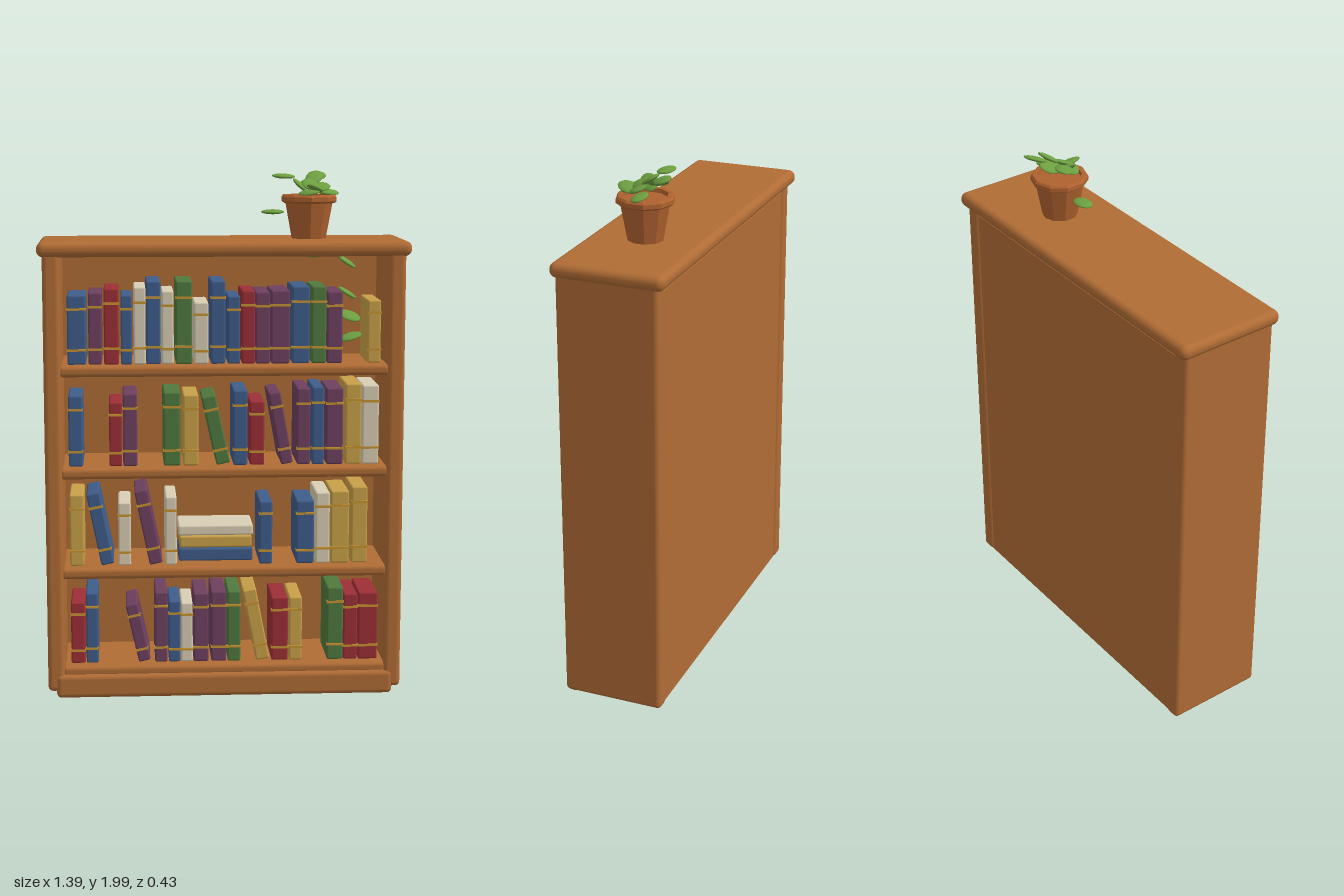
import * as THREE from 'three';
import { RoundedBoxGeometry } from 'three/addons/geometries/RoundedBoxGeometry.js';

const mat = (name, color, flatShading = false) => {
  const m = new THREE.MeshStandardMaterial({ color, flatShading });
  m.name = name;
  return m;
};

export function createModel() {
  const model = new THREE.Group();
  model.name = 'bookcase';

  const wood = mat('wood', 0xb06c35);
  const clay = mat('terracotta', 0xb0622f, true);
  const leafGreen = mat('leaf green', 0x6c9f40);
  const gold = mat('gold band', 0xc4922f);
  const covers = {
    b: mat('blue cover', 0x3f5d8a),
    p: mat('purple cover', 0x6e405f),
    r: mat('red cover', 0x9c2f36),
    g: mat('green cover', 0x50793f),
    y: mat('yellow cover', 0xc8a048),
    c: mat('cream cover', 0xd8ceb4),
  };

  const add = (parent, name, geometry, material, x = 0, y = 0, z = 0) => {
    const mesh = new THREE.Mesh(geometry, material);
    mesh.name = name;
    mesh.position.set(x, y, z);
    parent.add(mesh);
    return mesh;
  };
  const rounded = (w, h, d, r, s = 3) => new RoundedBoxGeometry(w, h, d, s, r);

  // Carcass
  add(model, 'topBoard', rounded(1.39, 0.056, 0.428, 0.026, 4), wood, 0, 1.708, -0.002);
  for (const side of [-1, 1]) {
    add(model, side > 0 ? 'leftSide' : 'rightSide', rounded(0.064, 1.675, 0.388, 0.018), wood, side * 0.643, 0.8625, 0.003);
  }
  add(model, 'backPanel', new THREE.BoxGeometry(1.25, 1.63, 0.02), wood, 0, 0.843, -0.172);
  add(model, 'kickBoard', rounded(1.285, 0.09, 0.045, 0.018), wood, 0, 0.045, 0.182);
  const shelfTops = [1.275, 0.888, 0.503, 0.12];
  for (const y of shelfTops) {
    add(model, 'shelf', rounded(1.24, 0.042, 0.35, 0.016), wood, 0, y - 0.021, 0.012);
  }

  // Books: [cover, left edge, width, height, lean], sizes in thousandths, lean in radians
  const frontZ = 0.14, depth = 0.23;
  const row = (base, books) => {
    for (const [cover, left, w, h, lean = 0] of books) {
      const book = new THREE.Group();
      book.name = 'book';
      const W = w / 1000, H = h / 1000;
      book.position.set(left / 1000, base, frontZ);
      book.rotation.z = lean;
      add(book, 'cover', rounded(W, H, depth, 0.007, 2), covers[cover], W / 2, H / 2, -depth / 2);
      for (const t of [0.21, 0.8]) {
        add(book, 'spineBand', new THREE.BoxGeometry(W + 0.004, 0.009, 0.022), gold, W / 2, H * t, -0.008);
      }
      model.add(book);
    }
  };
  row(shelfTops[0], [
    ['b', -587, 70, 260], ['p', -508, 50, 270], ['r', -450, 55, 285], ['b', -387, 42, 260],
    ['c', -339, 45, 290], ['b', -292, 54, 312], ['c', -234, 45, 275], ['g', -182, 62, 312],
    ['c', -113, 54, 232], ['b', -50, 54, 312], ['b', 13, 47, 255], ['r', 66, 50, 275],
    ['p', 118, 54, 270], ['p', 176, 71, 275], ['b', 255, 66, 290], ['g', 329, 55, 290],
    ['p', 387, 58, 270], ['y', 540, 50, 237],
  ]);
  row(shelfTops[1], [
    ['b', -587, 54, 270], ['r', -434, 48, 244], ['p', -382, 54, 276], ['g', -229, 64, 281],
    ['y', -155, 58, 270], ['g', -28, 53, 265, 0.22], ['b', 34, 54, 286], ['r', 97, 55, 244],
    ['p', 217, 45, 277, 0.18], ['p', 276, 50, 292], ['b', 334, 45, 297], ['p', 387, 64, 292],
    ['y', 460, 60, 308], ['c', 524, 63, 302],
  ]);
  row(shelfTops[2], [
    ['y', -587, 54, 276], ['b', -468, 50, 282, 0.2], ['c', -403, 48, 244], ['p', -284, 50, 292, 0.2],
    ['c', -224, 43, 265], ['b', 134, 50, 244], ['b', 276, 68, 244], ['c', 350, 54, 276],
    ['y', 408, 70, 281], ['y', 487, 61, 297],
  ]);
  row(shelfTops[3], [
    ['r', -587, 54, 240], ['b', -529, 46, 276], ['p', -328, 46, 230, 0.22], ['p', -266, 48, 276],
    ['b', -213, 45, 240], ['c', -166, 45, 233], ['p', -118, 58, 270], ['p', -50, 58, 276],
    ['g', 13, 50, 276], ['y', 124, 52, 282, 0.19], ['r', 182, 64, 250], ['y', 250, 50, 250],
    ['g', 397, 62, 286], ['r', 460, 54, 260], ['r', 518, 74, 265],
  ]);

  // Books lying flat in a pile
  [['b', 0.285, 0.505, 0.05], ['y', 0.278, 0.557, 0.046], ['c', 0.288, 0.605, 0.04]].forEach(([c, w, y, h]) => {
    add(model, 'stackedBook', rounded(w, h, 0.19, 0.008, 2), covers[c], -0.03, y + h / 2, -0.005);
  });

  // Flower pot
  const pot = new THREE.Group();
  pot.name = 'pottedPlant';
  pot.position.set(0.328, 1.735, 0);
  model.add(pot);
  add(pot, 'potBody', new THREE.CylinderGeometry(0.094, 0.066, 0.15, 10), clay, 0, 0.075, 0);
  const rimProfile = [[0.08, 0.138], [0.098, 0.134], [0.107, 0.141], [0.107, 0.157], [0.1, 0.165], [0.084, 0.165], [0.08, 0.138]]
    .map(([r, y]) => new THREE.Vector2(r, y));
  add(pot, 'potRim', new THREE.LatheGeometry(rimProfile, 10), clay);

  // Leaves: [x, y, z, turn, pitch, roll]
  const leafShape = new THREE.SphereGeometry(1, 14, 10).scale(0.044, 0.009, 0.032);
  const leaf = (x, y, z, turn, pitch, roll) => {
    add(model, 'leaf', leafShape, leafGreen, x, y, z).rotation.set(pitch, turn, roll, 'YXZ');
  };
  [
    [0.235, 1.968, -0.042, -0.15, 0.1, -0.05],
    [0.19, 1.836, 0.008, 0, 0.05, 0],
    [0.365, 1.97, -0.08, 0.9, 0.35, 0.2],
    [0.352, 1.965, -0.03, 1.1, 0.3, 0.5],
    [0.4, 1.91, -0.008, 0.1, 0.25, -0.1],
    [0.345, 1.925, 0.055, 1.3, 0.3, -0.25],
    [0.32, 1.945, -0.045, 1.2, -0.4, 0.3],
    [0.295, 1.935, 0, 0.6, 0.6, -0.5],
    [0.33, 1.94, 0.02, 1.4, 0.3, 0.4],
    [0.37, 1.93, 0.01, 0.7, 0.4, 0.2],
    [0.325, 1.91, 0.05, -0.5, 0.3, 0.1],
    // Trailing leaves inside the top shelf
    [0.362, 1.672, -0.05, 0, 0.2, 0.1],
    [0.472, 1.648, 0.02, 0.2, 0.3, -0.55],
    [0.475, 1.53, 0.02, 0.3, 0.3, -0.5],
    [0.485, 1.442, 0.02, -0.2, 0.5, -0.35],
    [0.49, 1.362, 0.02, 0.1, 0.3, 0.3],
  ].forEach((l) => leaf(...l));

  return model;
}
